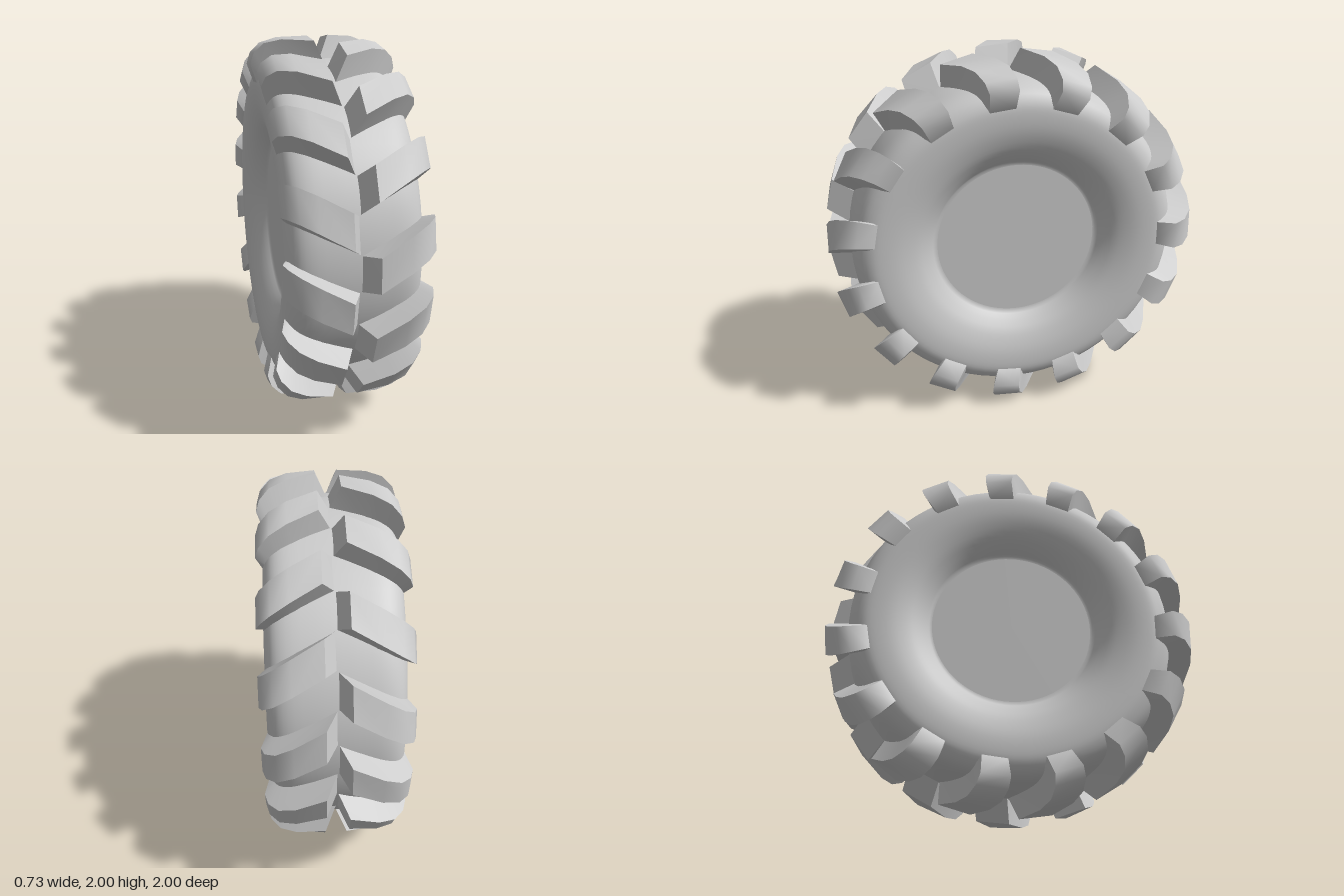
import * as THREE from 'three';
import { mergeGeometries, toCreasedNormals } from 'three/addons/utils/BufferGeometryUtils.js';

const rad = THREE.MathUtils.degToRad;
const LUGS_PER_SIDE = 15;
const STEP = 360 / LUGS_PER_SIDE;

// Lug stations from tread centre to sidewall: [top x, top radius, base x, base radius]
const STATIONS = [
  [0.06, 1.0, 0.0, 0.87],
  [0.21, 0.993, 0.18, 0.85],
  [0.295, 0.968, 0.25, 0.83],
  [0.345, 0.918, 0.285, 0.8],
  [0.363, 0.86, 0.3, 0.77],
  [0.334, 0.765, 0.3, 0.74],
];

// One slanted lug; side is +1 or -1, angle is measured from +z towards +y
function lugGeometry(side, angle) {
  const point = (x, r, offset) => {
    const a = rad(angle + 33 * (x - 0.05) + offset);
    return [side * x, r * Math.sin(a), r * Math.cos(a)];
  };
  const rings = STATIONS.map(([tx, tr, bx, br]) => [
    point(tx, tr, -4.9), point(tx, tr, 4.9), point(bx, br, 5.9), point(bx, br, -5.9),
  ]);
  const positions = [];
  const quad = (a, b, c, d) => {
    const corners = side > 0 ? [a, b, c, a, c, d] : [a, c, b, a, d, c];
    corners.forEach((p) => positions.push(...p));
  };
  for (let i = 0; i < rings.length - 1; i++) {
    for (let k = 0; k < 4; k++) {
      const n = (k + 1) % 4;
      quad(rings[i][k], rings[i + 1][k], rings[i + 1][n], rings[i][n]);
    }
  }
  quad(...rings[0]);
  quad(...[...rings[rings.length - 1]].reverse());
  const geometry = new THREE.BufferGeometry();
  geometry.setAttribute('position', new THREE.Float32BufferAttribute(positions, 3));
  return toCreasedNormals(geometry, rad(38));
}

export function createModel() {
  const model = new THREE.Group();
  model.name = 'tractorTyre';
  const rubber = new THREE.MeshStandardMaterial({ color: 0xcccccc });
  rubber.name = 'light grey rubber';

  const wheel = new THREE.Group();
  wheel.name = 'wheel';
  wheel.position.y = 1;
  model.add(wheel);

  const add = (name, geometry) => {
    const mesh = new THREE.Mesh(geometry, rubber);
    mesh.name = name;
    wheel.add(mesh);
    return mesh;
  };

  // Carcass: half profile as (radius, distance from middle), mirrored and turned
  const half = new THREE.SplineCurve([
    [0.455, 0.232], [0.49, 0.262], [0.55, 0.3], [0.64, 0.328], [0.73, 0.335],
    [0.79, 0.325], [0.84, 0.29], [0.868, 0.22], [0.878, 0.1], [0.88, 0],
  ].map(([r, x]) => new THREE.Vector2(r, x))).getPoints(30);
  half.unshift(new THREE.Vector2(0.43, 0.22), new THREE.Vector2(0.445, 0.222));
  const profile = [
    ...half.map((p) => new THREE.Vector2(p.x, -p.y)),
    ...half.slice(0, -1).reverse(),
  ];
  add('carcass', new THREE.LatheGeometry(profile, 72).rotateZ(-Math.PI / 2));

  for (const side of [1, -1]) {
    const label = side > 0 ? 'left' : 'right';

    // Flat disc closing the middle
    const disc = add(`${label}HubDisc`, new THREE.CircleGeometry(0.43, 72));
    disc.rotation.y = side * Math.PI / 2;
    disc.position.x = side * 0.22;

    // Tread lugs, the two sides staggered by half a step
    const lugs = [];
    for (let i = 0; i < LUGS_PER_SIDE; i++) {
      lugs.push(lugGeometry(side, (side > 0 ? 1.5 : 13.5) + i * STEP));
    }
    add(`${label}TreadLugs`, mergeGeometries(lugs));
  }
  return model;
}
